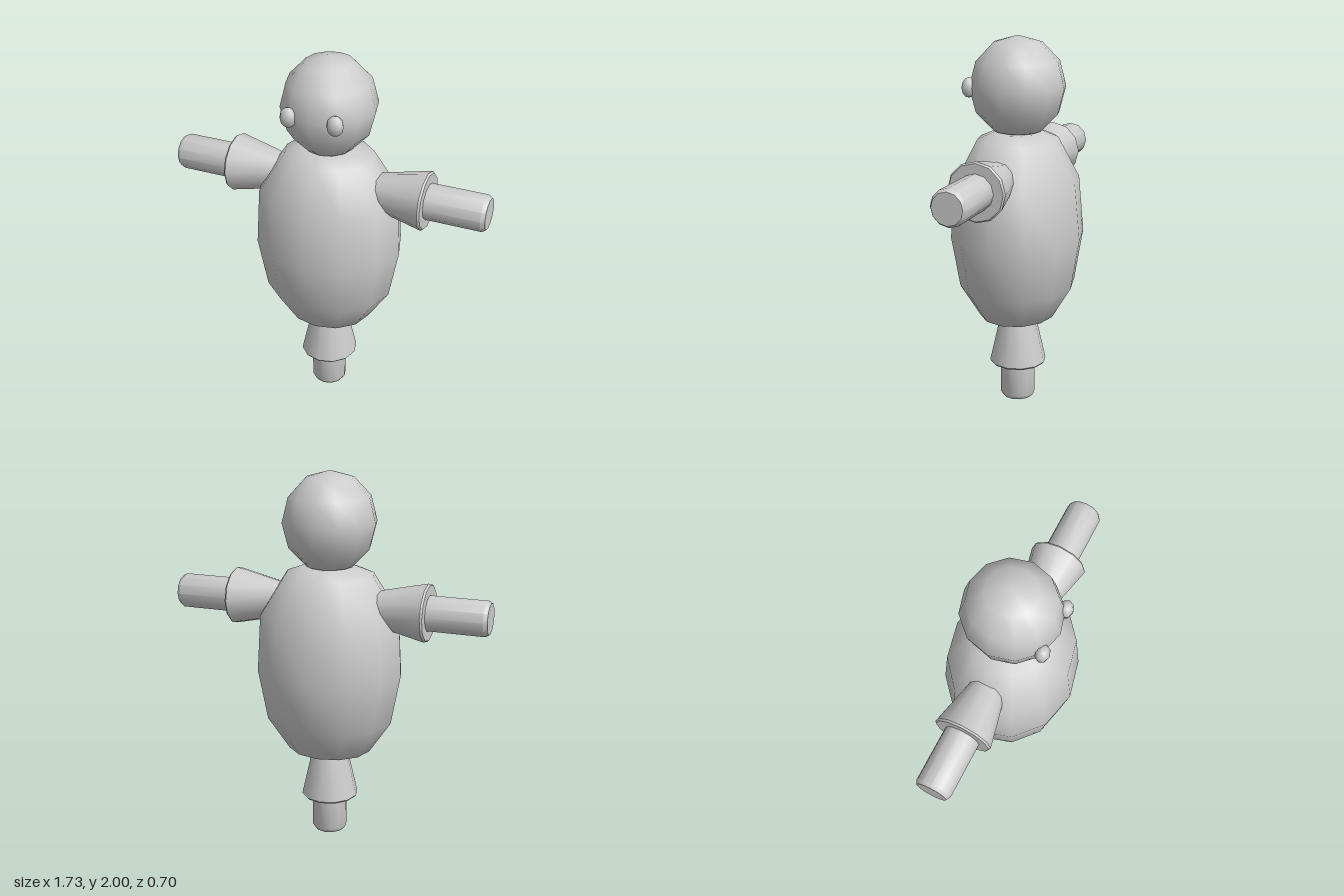
import * as THREE from 'three';
import { toCreasedNormals } from 'three/addons/utils/BufferGeometryUtils.js';

const SIDES = 12;
const material = new THREE.MeshStandardMaterial({ color: 0xcccccc });

function addMesh(parent, name, geometry) {
  const mesh = new THREE.Mesh(geometry, material);
  mesh.name = name;
  parent.add(mesh);
  return mesh;
}

// Turned solid from [radius, height] pairs, listed bottom to top
function turned(profile) {
  return new THREE.LatheGeometry(profile.map(([r, y]) => new THREE.Vector2(r, y)), SIDES);
}

// Flared sleeve with a bevelled peg; the origin is the sleeve rim, +y points outwards
function createLimb(name, pegLength) {
  const limb = new THREE.Group();
  limb.name = name;
  const sleeve = turned([[0, -0.27], [0.096, -0.27], [0.155, -0.01], [0.147, 0], [0, 0]]);
  const peg = turned([[0, -0.05], [0.095, -0.05], [0.095, pegLength - 0.02], [0.082, pegLength], [0, pegLength]]);
  addMesh(limb, 'sleeve', toCreasedNormals(sleeve, 0.7));
  addMesh(limb, 'peg', toCreasedNormals(peg, 0.7));
  return limb;
}

// Egg-shaped torso: wider than deep, with extra width at the shoulders
function createTorso() {
  const geometry = turned([
    [0, 0.455], [0.11, 0.455], [0.2, 0.487], [0.305, 0.665],
    [0.35, 0.94], [0.32, 1.24], [0.21, 1.463], [0.125, 1.5], [0, 1.5],
  ]);
  const p = geometry.attributes.position;
  for (let i = 0; i < p.count; i++) {
    const shoulder = Math.abs(p.getY(i) - 1.24) < 0.01 ? 1.2 : 1.14;
    p.setX(i, p.getX(i) * shoulder);
  }
  return toCreasedNormals(geometry, 1.05);
}

export function createModel() {
  const model = new THREE.Group();
  model.name = 'pegFigure';

  addMesh(model, 'torso', createTorso());

  const head = addMesh(model, 'head', new THREE.SphereGeometry(1, SIDES, 6));
  head.scale.set(0.25, 0.265, 0.255);
  head.position.y = 1.735;

  // Mirrored eyes and arms
  for (const side of [1, -1]) {
    const label = side > 0 ? 'left' : 'right';

    const eye = addMesh(model, label + 'Eye', new THREE.SphereGeometry(1, 8, 6));
    eye.scale.set(0.045, 0.053, 0.038);
    eye.position.set(side * 0.125, 1.735, 0.222);

    const arm = createLimb(label + 'Arm', 0.318);
    arm.rotation.z = -side * Math.PI / 2;
    arm.position.set(side * 0.545, 1.297, 0);
    model.add(arm);
  }

  // Single central leg
  const leg = createLimb('leg', 0.205);
  leg.rotation.z = Math.PI;
  leg.position.y = 0.205;
  model.add(leg);

  return model;
}
